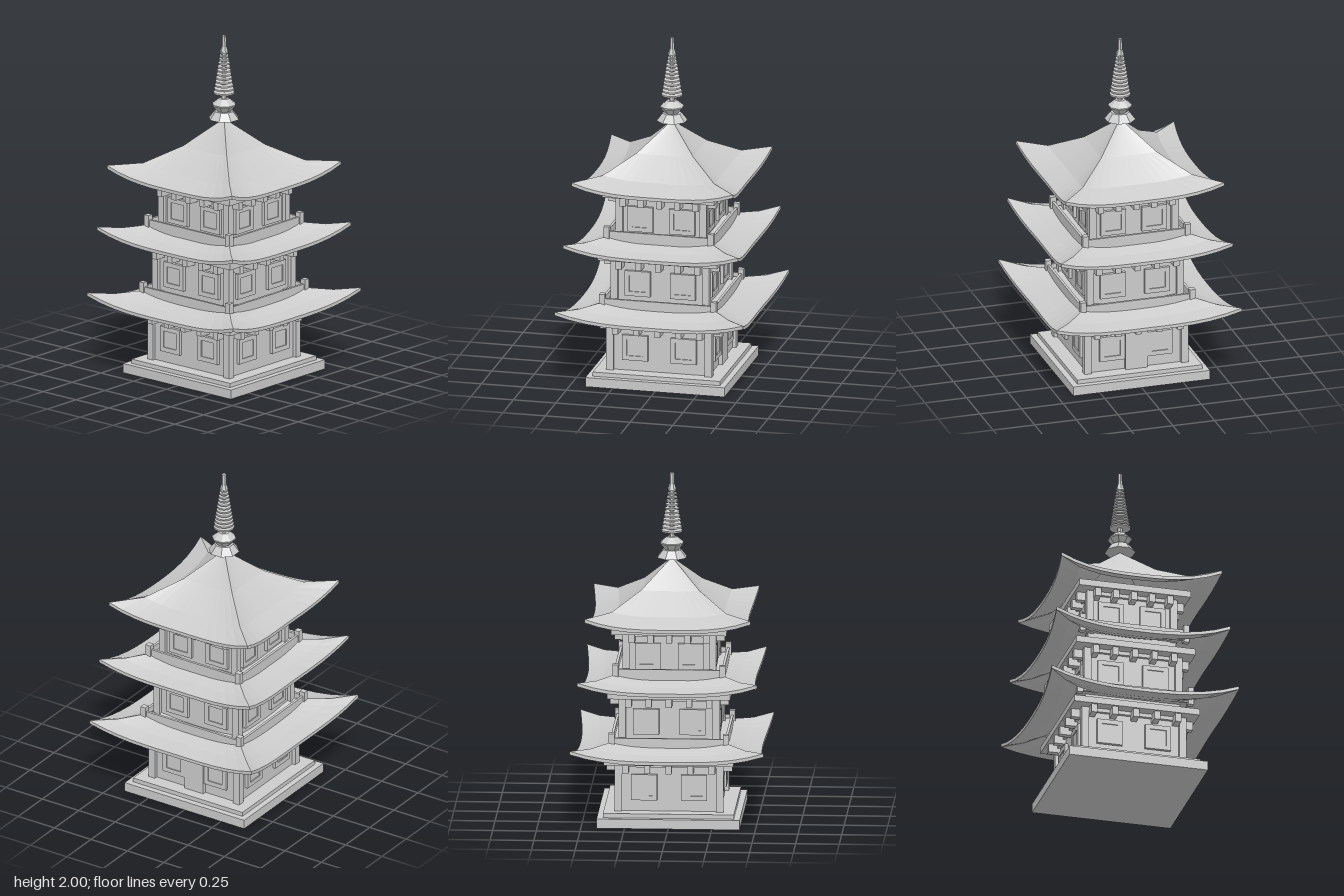
import * as THREE from 'three';

const grey = new THREE.MeshStandardMaterial({ color: 0xcccccc, flatShading: true });
const thin = new THREE.MeshStandardMaterial({ color: 0xcccccc, flatShading: true, side: THREE.DoubleSide });

function add(parent, name, geometry, x = 0, y = 0, z = 0, material = grey) {
  const mesh = new THREE.Mesh(geometry, material);
  mesh.name = name;
  mesh.position.set(x, y, z);
  parent.add(mesh);
  return mesh;
}

// Box given by its width, depth and the heights of its bottom and top
function block(parent, name, w, d, y0, y1, x = 0, z = 0) {
  return add(parent, name, new THREE.BoxGeometry(w, y1 - y0, d), x, (y0 + y1) / 2, z);
}

// Calls build(group) for each of the four sides, drawn as if facing +z
function fourSides(parent, name, build) {
  for (let i = 0; i < 4; i++) {
    const side = new THREE.Group();
    side.name = name;
    side.rotation.y = i * Math.PI / 2;
    build(side, i);
    parent.add(side);
  }
}

function corners(parent, name, r, w, y0, y1) {
  for (const x of [-r, r]) for (const z of [-r, r]) block(parent, name, w, w, y0, y1, x, z);
}

// One quarter of a curved roof: rings are [fraction of the span, height above the eave]
function roofPanel(corner, mid, eave, rings, lift = 0.065, thickness = 0.02, cols = 12) {
  const pos = [], index = [], stride = cols + 1;
  const layer = (drop) => rings.forEach(([t, h]) => {
    for (let i = 0; i <= cols; i++) {
      const u = 2 * i / cols - 1;
      pos.push(u * t * corner,
        eave + h + lift * t * t * Math.abs(u) ** 3 - drop,
        t * (mid + (corner - mid) * u * u));
    }
  });
  layer(0);
  layer(thickness);
  const under = rings.length * stride;
  const quad = (a, b, c, d) => index.push(a, b, c, a, c, d);
  for (let r = 0; r < rings.length - 1; r++) {
    for (let i = 0; i < cols; i++) {
      const a = r * stride + i, b = a + stride;
      quad(a, b, b + 1, a + 1);
      quad(under + a, under + a + 1, under + b + 1, under + b);
    }
  }
  // Eave edge
  for (let i = 0; i < cols; i++) {
    const a = (rings.length - 1) * stride + i;
    quad(a, under + a, under + a + 1, a + 1);
  }
  const g = new THREE.BufferGeometry();
  g.setAttribute('position', new THREE.Float32BufferAttribute(pos, 3));
  g.setIndex(index);
  g.computeVertexNormals();
  return g;
}

function windowUnit(parent, x, y, z) {
  const s = 0.15, bar = 0.027;
  for (const k of [-1, 1]) {
    block(parent, 'windowFrame', bar, 0.025, y - s / 2, y + s / 2, x + k * (s - bar) / 2, z);
    add(parent, 'windowFrame', new THREE.BoxGeometry(s - 2 * bar, bar, 0.025), x, y + k * (s - bar) / 2, z);
  }
  add(parent, 'windowPane', new THREE.BoxGeometry(s - 2 * bar, s - 2 * bar, 0.012), x, y, z);
}

function storey(parent, s) {
  const g = new THREE.Group();
  g.name = 'storey';
  parent.add(g);
  const wall = s.half - 0.02;
  block(g, 'walls', wall * 2, wall * 2, s.y0, s.slab, 0, 0);
  corners(g, 'cornerColumn', s.half - 0.02, 0.042, s.y0, s.slab);
  block(g, 'eaveSlab', s.slabHalf * 2, s.slabHalf * 2, s.slab, s.slab + 0.038);
  fourSides(g, 'wallSide', (side, i) => {
    block(side, 'beam', s.half * 2 - 0.04, 0.02, s.slab - 0.022, s.slab, 0, wall + 0.008);
    for (const k of [-1, 1]) windowUnit(side, k * s.winX, s.winY, wall + 0.006);
    for (let k = -2; k <= 2; k++) {
      block(side, 'bracket', 0.035, 0.08, s.slab - 0.05, s.slab, k * s.half * 0.4, s.half + 0.01);
    }
    if (s.door && i === 2) block(side, 'door', 0.13, 0.03, s.y0, 0.315, 0, wall + 0.008);
  });
}

function balcony(parent, r, y) {
  const g = new THREE.Group();
  g.name = 'balcony';
  parent.add(g);
  block(g, 'balconyDeck', r * 2, r * 2, y, y + 0.02);
  corners(g, 'balconyPost', r, 0.034, y - 0.02, y + 0.085);
  fourSides(g, 'balconySide', (side) =>
    block(side, 'railing', r * 2 - 0.03, 0.015, y - 0.005, y + 0.058, 0, r));
}

export function createModel() {
  const model = new THREE.Group();
  model.name = 'pagoda';

  // Stepped base
  block(model, 'basePlinth', 0.82, 0.82, 0, 0.055);
  block(model, 'baseStep', 0.75, 0.75, 0.055, 0.08);

  // Storeys
  storey(model, { y0: 0.08, half: 0.31, slab: 0.36, slabHalf: 0.372, winX: 0.143, winY: 0.22, door: true });
  storey(model, { y0: 0.46, half: 0.29, slab: 0.745, slabHalf: 0.353, winX: 0.133, winY: 0.6 });
  storey(model, { y0: 0.85, half: 0.267, slab: 1.117, slabHalf: 0.33, winX: 0.123, winY: 0.98 });

  // Roofs, the upper one closing to a point
  const skirt = [[0.5, 0.07], [0.62, 0.045], [0.8, 0.015], [1, 0]];
  const peak = [[0, 0.332], [0.35, 0.165], [0.69, 0.045], [1, 0]];
  const roofs = [[0.555, 0.523, 0.416, skirt], [0.515, 0.484, 0.808, skirt], [0.475, 0.445, 1.173, peak]];
  for (const [corner, mid, eave, rings] of roofs) {
    const panel = roofPanel(corner, mid, eave, rings);
    fourSides(model, 'roof', (side) => add(side, 'roofPanel', panel));
  }
  block(model, 'roofCore', 0.56, 0.56, 0.39, 0.47);
  block(model, 'roofCore', 0.52, 0.52, 0.775, 0.86);

  // Balconies
  balcony(model, 0.328, 0.455);
  balcony(model, 0.307, 0.855);

  // Spire: eight-sided foot and bowl, pole and tapering rings
  const foot = [[0, 1.505], [0.09, 1.505], [0.055, 1.55], [0.04, 1.55], [0.07, 1.585], [0.07, 1.592], [0.03, 1.625], [0, 1.625]]
    .map(([r, y]) => new THREE.Vector2(r, y));
  add(model, 'spireFoot', new THREE.LatheGeometry(foot, 8, Math.PI / 8), 0, 0, 0, thin);
  add(model, 'spirePole', new THREE.CylinderGeometry(0.013, 0.016, 0.4, 6), 0, 1.8, 0);
  const count = 12;
  for (let i = 0; i < count; i++) {
    const k = i / (count - 1), r = 0.061 - 0.037 * k;
    add(model, 'spireRing', new THREE.CylinderGeometry(r, r, 0.009, 12), 0, 1.66 + 0.24 * k, 0);
  }
  add(model, 'spireTip', new THREE.CylinderGeometry(0.015, 0.024, 0.03, 6), 0, 1.92, 0);
  return model;
}
